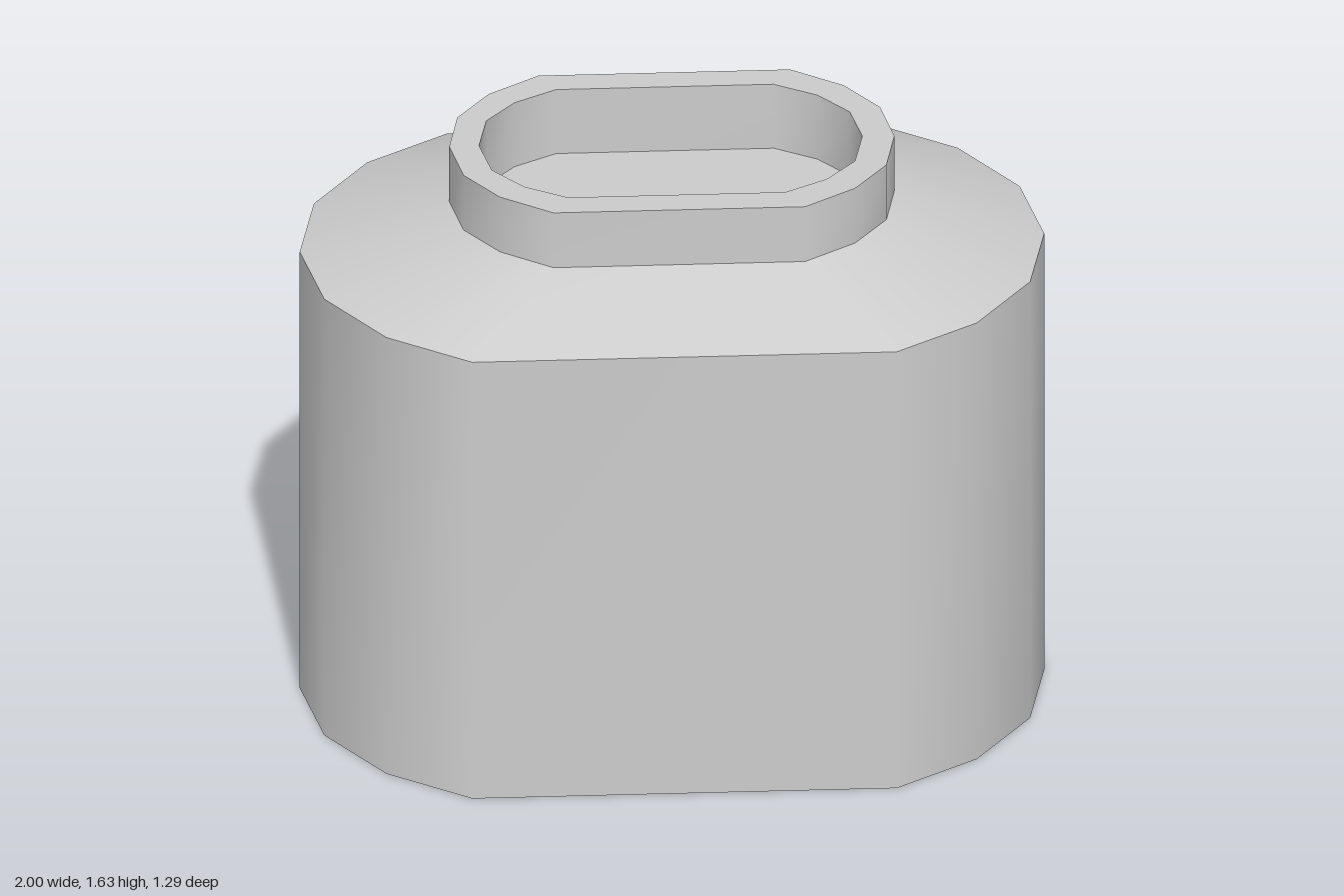
import * as THREE from 'three';

const material = new THREE.MeshStandardMaterial({ color: 0xcccccc });

// Twelve-plus-two sided oval outline, mirrored from one quarter [x, z]
function outline(quarter, cx = 0, cz = 0) {
  const back = quarter.slice(1);
  const half = [...quarter, ...back.slice().reverse().map(([x, z]) => [-x, z])];
  const left = [-quarter[0][0], 0];
  const other = [...back.map(([x, z]) => [-x, -z]), ...back.slice().reverse().map(([x, z]) => [x, -z])];
  return [...half, left, ...other].map(([x, z]) => [x + cx, z + cz]);
}

// Closed band of faces between two outlines, smooth all the way round
function band(name, lower, y0, upper, y1) {
  const n = lower.length, pos = [], index = [];
  lower.forEach(([x, z]) => pos.push(x, y0, z));
  upper.forEach(([x, z]) => pos.push(x, y1, z));
  for (let i = 0; i < n; i++) {
    const j = (i + 1) % n;
    index.push(i, n + i, j, j, n + i, n + j);
  }
  const geo = new THREE.BufferGeometry();
  geo.setAttribute('position', new THREE.Float32BufferAttribute(pos, 3));
  geo.setIndex(index);
  geo.computeVertexNormals();
  const mesh = new THREE.Mesh(geo, material);
  mesh.name = name;
  return mesh;
}

// Flat cap filling an outline, facing up (1) or down (-1)
function cap(name, ring, y, facing) {
  const shape = new THREE.Shape(ring.map(([x, z]) => new THREE.Vector2(x, -facing * z)));
  const geo = new THREE.ShapeGeometry(shape).rotateX(-facing * Math.PI / 2);
  const mesh = new THREE.Mesh(geo, material);
  mesh.position.y = y;
  mesh.name = name;
  return mesh;
}

export function createModel() {
  const group = new THREE.Group();
  group.name = 'ovalBottle';

  const bodyRing = outline([[1, 0], [0.948, 0.27], [0.793, 0.495], [0.57, 0.647]]);
  const neckRing = outline([[0.598, 0], [0.568, 0.163], [0.477, 0.291], [0.338, 0.388]], 0, -0.008);
  const mouthRing = outline([[0.515, 0], [0.488, 0.139], [0.407, 0.237], [0.292, 0.305]], -0.003, -0.01);

  const shoulderY = 1.33, neckY = 1.468, topY = 1.635, floorY = 1.44;

  group.add(
    // Body
    cap('base', bodyRing, 0, -1),
    band('body', bodyRing, 0, bodyRing, shoulderY),
    band('shoulder', bodyRing, shoulderY, neckRing, neckY),
    // Neck with a shallow recess
    band('neck', neckRing, neckY, neckRing, topY),
    band('rim', neckRing, topY, mouthRing, topY),
    band('mouthWall', mouthRing, topY, mouthRing, floorY),
    cap('mouthFloor', mouthRing, floorY, 1),
  );
  return group;
}
